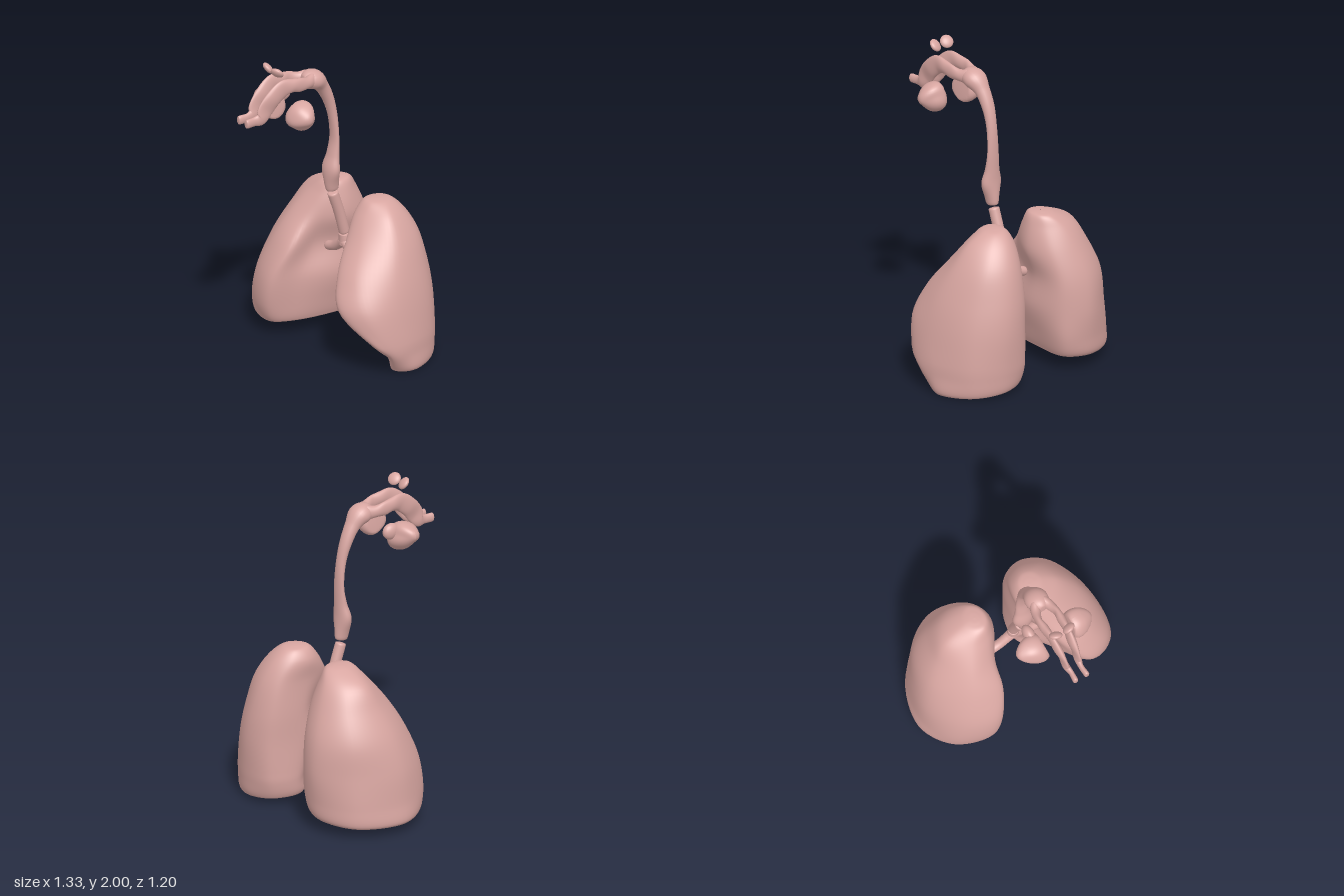
import * as THREE from 'three';

const material = new THREE.MeshStandardMaterial({ color: 0xd8a6a1, roughness: 0.8 });
const V = (x, y, z) => new THREE.Vector3(x, y, z);
const MID = 0.05; // x of the airway's own middle plane

// Smooth skin over closed rings of points (counterclockwise about the direction of travel)
function skin(rings) {
  const n = rings[0].length, index = [];
  for (let i = 0; i < rings.length - 1; i++) {
    for (let j = 0; j < n; j++) {
      const a = i * n + j, b = i * n + (j + 1) % n;
      index.push(a, b, a + n, b, b + n, a + n);
    }
  }
  const g = new THREE.BufferGeometry();
  g.setAttribute('position', new THREE.Float32BufferAttribute(rings.flat().flatMap(p => [p.x, p.y, p.z]), 3));
  g.setIndex(index);
  g.computeVertexNormals();
  return g;
}

function add(group, name, geometry) {
  const mesh = new THREE.Mesh(geometry, material);
  mesh.name = name;
  group.add(mesh);
  return mesh;
}

// Elliptical tube with rounded ends; stations are [x, y, z, sideRadius, depthRadius]
function tube(stations, ref = V(1, 0, 0), steps = 60, sides = 24, cap = 0.04) {
  const path = new THREE.CatmullRomCurve3(stations.map(s => V(s[0], s[1], s[2])));
  const radii = new THREE.CatmullRomCurve3(stations.map((s, i) => V(s[3], s[4], i * 0.05)));
  const ts = [0, 0, cap * 0.15, cap * 0.5];
  const ks = [0.01, 0.75, 0.9, 0.98];
  const rows = ts.map((t, i) => [t, ks[i]]);
  for (let i = 0; i <= steps; i++) rows.push([cap + (1 - 2 * cap) * i / steps, 1]);
  for (let i = 3; i >= 0; i--) rows.push([1 - ts[i], ks[i]]);
  return skin(rows.map(([t, k]) => {
    const c = path.getPoint(t), r = radii.getPoint(t), T = path.getTangent(t);
    const N = T.clone().cross(ref).normalize(), S = N.clone().cross(T);
    return Array.from({ length: sides }, (_, j) => {
      const a = j / sides * Math.PI * 2;
      return c.clone().addScaledVector(S, k * r.x * Math.cos(a)).addScaledVector(N, k * r.y * Math.sin(a));
    });
  }));
}

// Lung from horizontal sections: [y, then x,z for front edge, outer front, outer,
// outer back, back, inner back, inner, inner front]. The base rises by lift towards the middle.
function lung(levels, flip, hollow, lift) {
  const sections = levels.map(([y, ...c]) => {
    const pts = [];
    for (let i = 0; i < c.length; i += 2) {
      const inward = (0.66 - Math.abs(c[i])) / 0.5;
      pts.push(V(c[i], y + lift * inward * Math.max(0, 1 - y / 0.4), c[i + 1]));
    }
    if (flip) pts.reverse();
    const curve = new THREE.CatmullRomCurve3(pts, true);
    return Array.from({ length: 64 }, (_, j) => curve.getPoint(j / 64));
  });
  const shrink = (ring, k, dy) => {
    const c = ring.reduce((s, p) => s.add(p), V(0, 0, 0)).divideScalar(ring.length);
    return ring.map(p => p.clone().sub(c).multiplyScalar(k).add(c).add(V(0, dy, 0)));
  };
  const first = sections[0], last = sections[sections.length - 1];
  // hollowed base and rounded apex
  const all = [shrink(first, 0.01, hollow), shrink(first, 0.5, hollow * 0.6), shrink(first, 0.93, -0.022),
    ...sections, shrink(last, 0.5, 0.012), shrink(last, 0.01, 0.015)];
  const columns = first.map((_, j) => new THREE.CatmullRomCurve3(all.map(r => r[j])));
  const rows = 72;
  return skin(Array.from({ length: rows + 1 }, (_, i) => columns.map(c => {
    const p = c.getPoint(i / rows);
    p.y = Math.max(p.y, 0);
    return p;
  })));
}

// Rounded, lumpy cavity: flat inner side, narrowing outward; side is +1 or -1.
// lean moves the inner side up (+) or down (-).
function cheekCavity(w, h, d, side, lean) {
  const g = new THREE.SphereGeometry(1, 32, 24);
  const p = g.attributes.position;
  for (let i = 0; i < p.count; i++) {
    const out = p.getX(i) * side;
    const x = out < 0 ? Math.max(out * 1.3, -0.8 + 0.15 * out) : out;
    const k = 1.02 - 0.34 * x + 0.07 * Math.sin(4 * p.getY(i) + 3 * p.getZ(i));
    p.setXYZ(i, side * (x * w + 0.015 * p.getY(i)), p.getY(i) * k * h - lean * x, p.getZ(i) * k * d);
  }
  g.computeVertexNormals();
  return g;
}

export function createModel() {
  const model = new THREE.Group();
  model.name = 'respiratorySystem';

  // Lungs
  add(model, 'leftLung', lung([
    [0.025, 0.43, -0.22, 0.59, -0.15, 0.65, -0.26, 0.55, -0.48, 0.36, -0.57, 0.19, -0.52, 0.13, -0.36, 0.2, -0.25],
    [0.12, 0.58, -0.1, 0.64, -0.11, 0.655, -0.25, 0.56, -0.48, 0.37, -0.58, 0.18, -0.54, 0.12, -0.36, 0.24, -0.23],
    [0.21, 0.6, 0, 0.645, -0.06, 0.655, -0.24, 0.56, -0.48, 0.37, -0.585, 0.18, -0.545, 0.12, -0.34, 0.28, -0.17],
    [0.42, 0.41, 0.13, 0.57, 0.05, 0.63, -0.17, 0.55, -0.46, 0.36, -0.59, 0.18, -0.545, 0.12, -0.3, 0.24, -0.07],
    [0.6, 0.3, 0.06, 0.47, 0.03, 0.58, -0.18, 0.51, -0.45, 0.33, -0.575, 0.17, -0.53, 0.12, -0.32, 0.2, -0.17],
    [0.8, 0.22, -0.08, 0.36, -0.09, 0.49, -0.24, 0.43, -0.45, 0.28, -0.53, 0.16, -0.48, 0.12, -0.3, 0.15, -0.16],
    [0.93, 0.18, -0.17, 0.28, -0.17, 0.4, -0.27, 0.35, -0.41, 0.24, -0.46, 0.15, -0.41, 0.11, -0.3, 0.13, -0.22],
    [0.995, 0.2, -0.22, 0.26, -0.23, 0.31, -0.3, 0.28, -0.37, 0.22, -0.39, 0.17, -0.36, 0.15, -0.3, 0.16, -0.25],
  ], false, 0.1, 0.05));
  add(model, 'rightLung', lung([
    [0.085, -0.3, 0.13, -0.53, 0.07, -0.66, -0.15, -0.56, -0.46, -0.33, -0.57, -0.17, -0.51, -0.16, -0.28, -0.21, 0],
    [0.2, -0.29, 0.165, -0.53, 0.09, -0.65, -0.15, -0.56, -0.46, -0.33, -0.585, -0.15, -0.53, -0.13, -0.28, -0.19, 0],
    [0.4, -0.25, 0.155, -0.47, 0.1, -0.63, -0.15, -0.54, -0.46, -0.32, -0.6, -0.14, -0.53, -0.09, -0.3, -0.17, -0.02],
    [0.6, -0.19, 0.06, -0.39, 0.05, -0.575, -0.17, -0.52, -0.45, -0.32, -0.58, -0.14, -0.52, -0.1, -0.33, -0.17, -0.12],
    [0.78, -0.2, -0.06, -0.34, -0.05, -0.49, -0.22, -0.44, -0.43, -0.28, -0.52, -0.12, -0.46, -0.06, -0.3, -0.12, -0.15],
    [0.92, -0.17, -0.15, -0.28, -0.15, -0.41, -0.26, -0.36, -0.39, -0.24, -0.45, -0.13, -0.4, -0.08, -0.3, -0.11, -0.2],
    [0.995, -0.16, -0.2, -0.22, -0.21, -0.27, -0.28, -0.24, -0.35, -0.18, -0.38, -0.13, -0.35, -0.11, -0.29, -0.12, -0.24],
  ], true, 0.035, 0.05));

  // Windpipe and its fork
  add(model, 'trachea', tube([[0.037, 0.735, -0.19, 0.034, 0.034], [0.037, 0.88, -0.15, 0.034, 0.034],
    [0.037, 1.025, -0.1, 0.034, 0.034]]));
  add(model, 'tracheaFork', tube([[0.037, 0.65, -0.19, 0.038, 0.034], [0.037, 0.69, -0.19, 0.038, 0.034],
    [0.037, 0.728, -0.188, 0.034, 0.034]]));
  add(model, 'bronchi', tube([[-0.135, 0.585, -0.19, 0.03, 0.03], [-0.06, 0.61, -0.19, 0.03, 0.03],
    [0, 0.65, -0.19, 0.031, 0.031], [0.037, 0.672, -0.19, 0.034, 0.034], [0.074, 0.65, -0.19, 0.031, 0.031],
    [0.134, 0.61, -0.19, 0.03, 0.03], [0.21, 0.585, -0.19, 0.03, 0.03]], V(0, 0, 1)));

  // Throat, from the voice box up to the back of the nose
  add(model, 'pharynx', tube([
    [0.042, 1.045, -0.095, 0.032, 0.042], [0.042, 1.1, -0.088, 0.045, 0.046], [0.043, 1.19, -0.083, 0.07, 0.045],
    [0.046, 1.28, -0.095, 0.052, 0.032], [0.048, 1.4, -0.105, 0.042, 0.022], [0.046, 1.56, -0.09, 0.036, 0.028],
    [0.043, 1.68, -0.055, 0.042, 0.036], [0.045, 1.77, -0.005, 0.05, 0.045], [0.05, 1.825, 0.05, 0.074, 0.062],
    [0.052, 1.838, 0.1, 0.066, 0.058], [0.052, 1.842, 0.14, 0.03, 0.035]]));

  for (const side of [1, -1]) {
    const prefix = side > 0 ? 'left' : 'right';
    // Nasal passage: [distance from middle, y, z, half width, half height]
    const passage = [[0.025, 1.84, 0.08, 0.034, 0.052], [0.05, 1.842, 0.14, 0.03, 0.038],
      [0.063, 1.85, 0.2, 0.022, 0.045], [0.06, 1.86, 0.26, 0.027, 0.044], [0.056, 1.855, 0.33, 0.021, 0.058],
      [0.05, 1.805, 0.4, 0.025, 0.06], [0.045, 1.745, 0.45, 0.016, 0.06], [0.042, 1.692, 0.485, 0.021, 0.045],
      [0.036, 1.683, 0.53, 0.016, 0.03], [0.04, 1.682, 0.597, 0.018, 0.03]];
    add(model, prefix + 'NasalPassage', tube(passage.map(([d, ...r]) => [MID + side * d, ...r])));

    // Forehead cavity
    const brow = add(model, prefix + 'FrontalSinus', new THREE.SphereGeometry(1, 24, 16));
    brow.scale.set(0.042, 0.042, 0.021);
    brow.position.set(MID + side * 0.046, 1.967, 0.365);
    brow.rotation.set(0.75, side * 0.3, -side * 0.25);
  }

  // Cheek cavities
  add(model, 'leftMaxillarySinus', cheekCavity(0.08, 0.085, 0.082, 1, 0.008)).position.set(0.23, 1.69, 0.267);
  add(model, 'rightMaxillarySinus', cheekCavity(0.095, 0.085, 0.086, -1, -0.012)).position.set(-0.125, 1.685, 0.28);
  const knob = add(model, 'rightMaxillaryKnob', new THREE.SphereGeometry(1, 20, 16));
  knob.scale.set(0.036, 0.052, 0.058);
  knob.position.set(-0.085, 1.725, 0.192);

  return model;
}
